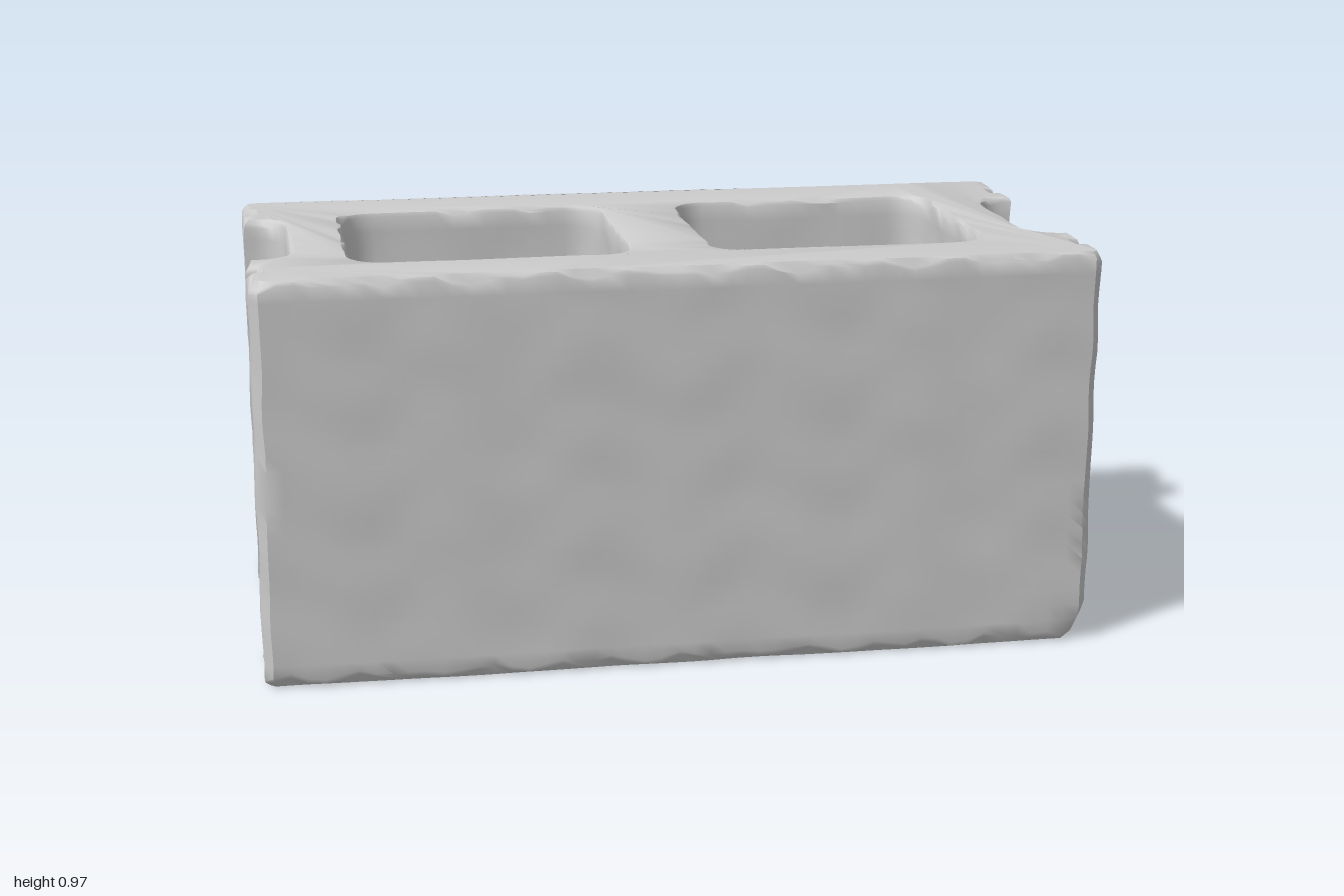
import * as THREE from 'three';
import { toCreasedNormals } from 'three/addons/utils/BufferGeometryUtils.js';

const BOTTOM = 0.01, TOP = 0.978, BEVEL = 0.013, STEP = 0.04;

// Split long edges so the walls can carry surface roughness
function subdivide(points) {
  const out = [];
  points.forEach((a, i) => {
    const b = points[(i + 1) % points.length];
    const n = Math.max(1, Math.round(a.distanceTo(b) / STEP));
    for (let k = 0; k < n; k++) out.push(a.clone().lerp(b, k / n));
  });
  return out;
}

// Quarter arc from angle a0 to a1
function arc(cx, cy, r, a0, a1, n = 6) {
  return Array.from({ length: n + 1 }, (_, i) => {
    const a = a0 + (a1 - a0) * i / n;
    return new THREE.Vector2(cx + r * Math.cos(a), cy + r * Math.sin(a));
  });
}

// Block plan: flanged ends with a narrow groove and a wide rounded recess
function blockOutline() {
  const v = (x, y) => new THREE.Vector2(x, y);
  const quarter = [
    ...arc(0.895 + 0.075, 0.162, 0.075, Math.PI, Math.PI / 2),
    v(0.995, 0.237), v(0.995, 0.31),
    v(0.972, 0.314), v(0.972, 0.374), v(0.995, 0.38),
    v(0.995, 0.467), v(0.975, 0.487)
  ];
  const flip = (pts, sx, sy) => pts.map(p => v(p.x * sx, p.y * sy));
  return subdivide([
    ...quarter,
    ...flip(quarter, -1, 1).reverse(),
    ...flip(quarter, -1, -1),
    ...flip(quarter, 1, -1).reverse()
  ]);
}

// Rounded rectangular core opening
function coreHole(x0, x1, y0, y1, r) {
  const q = Math.PI / 2;
  return new THREE.Path(subdivide([
    ...arc(x1 - r, y1 - r, r, 0, q),
    ...arc(x0 + r, y1 - r, r, q, 2 * q),
    ...arc(x0 + r, y0 + r, r, 2 * q, 3 * q),
    ...arc(x1 - r, y0 + r, r, 3 * q, 4 * q)
  ]));
}

// Smooth repeatable bumps in about -1..1
function bumps(x, y, z, f) {
  return (Math.sin(x * f + 2.1 * Math.sin(z * f * 0.7 + y * 3)) +
    Math.sin(y * f * 1.1 + 1.7 * Math.sin(x * f * 0.6 + 1)) +
    Math.sin(z * f * 1.3 + 1.9 * Math.sin(y * f * 0.8 + 2))) / 3;
}

// Roughen the faces, wear the rims unevenly and break off corner chips
function weather(geometry) {
  const pos = geometry.attributes.position, p = new THREE.Vector3();
  const mid = (TOP + BOTTOM) / 2, half = (TOP - BOTTOM) / 2;
  const chips = [
    { corner: [0.995, BOTTOM, 0.487], size: [0.05, 0.12, 0.11] },
    { corner: [0.995, BOTTOM, -0.487], size: [0.04, 0.06, 0.05] }
  ];
  for (let i = 0; i < pos.count; i++) {
    p.fromBufferAttribute(pos, i);
    const { x, y, z } = p;
    const fromRim = half - Math.abs(y - mid);
    const side = Math.sign(y - mid);
    p.x += 0.004 * bumps(x, y, z, 23);
    p.z += 0.003 * bumps(z, x, y, 21);
    p.y += 0.002 * bumps(y, z, x, 9);
    if (fromRim > 0.002 && fromRim < 0.03) {
      p.y -= side * 0.02 * Math.max(0, bumps(x, y, z, 41));
    }
    for (const { corner, size } of chips) {
      const d = [p.x - corner[0], p.y - corner[1], p.z - corner[2]];
      const t = d.reduce((s, c, k) => s + Math.abs(c) / size[k], 0);
      if (t < 1) {
        const push = (1 - t) / 3;
        p.x -= Math.sign(corner[0]) * size[0] * push;
        p.y += size[1] * push;
        p.z -= Math.sign(corner[2]) * size[2] * push;
      }
    }
    pos.setXYZ(i, p.x, p.y, p.z);
  }
}

export function createModel() {
  const group = new THREE.Group();
  group.name = 'concreteBlock';

  const plan = new THREE.Shape(blockOutline());
  plan.holes.push(
    coreHole(-0.755, -0.095, -0.317, 0.307, 0.085),
    coreHole(0.1, 0.765, -0.312, 0.307, 0.085)
  );
  let geometry = new THREE.ExtrudeGeometry(plan, {
    depth: TOP - BOTTOM - 2 * BEVEL,
    steps: 24,
    bevelEnabled: true,
    bevelThickness: BEVEL,
    bevelSize: BEVEL,
    bevelOffset: -BEVEL,
    bevelSegments: 2
  });
  geometry.rotateX(-Math.PI / 2);
  geometry.translate(0, BOTTOM + BEVEL, 0);
  weather(geometry);
  geometry.deleteAttribute('uv');
  geometry = toCreasedNormals(geometry, 0.75);

  const block = new THREE.Mesh(geometry, new THREE.MeshStandardMaterial({ color: 0xcccccc }));
  block.name = 'hollowBlock';
  group.add(block);
  return group;
}
